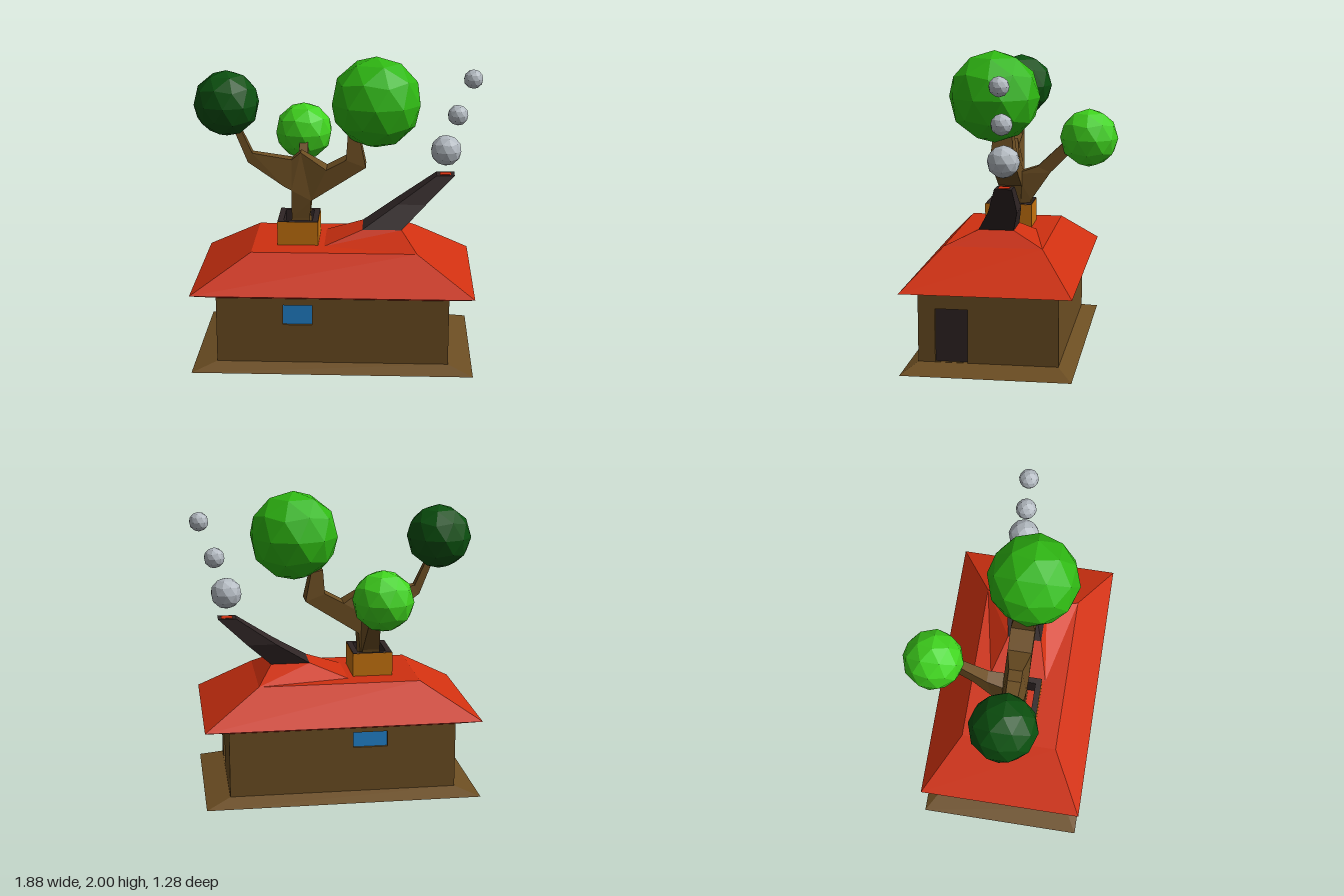
import * as THREE from 'three';

const colours = {
  wallBrown: 0x6b4d22, roofRed: 0xcf3010, charcoal: 0x2f2525, planterOrange: 0xc6730f,
  glassBlue: 0x2282cc, leafGreen: 0x2fb813, limeGreen: 0x40d41e, pineGreen: 0x0b500f, smokeGrey: 0xb4bbc2,
};

// Faceted skin through matching rings of points, capped at both ends
function loft(rings) {
  const pos = [];
  const tri = (a, b, c) => pos.push(...a, ...b, ...c);
  const n = rings[0].length;
  for (let r = 0; r < rings.length - 1; r++) {
    for (let i = 0; i < n; i++) {
      const j = (i + 1) % n, a = rings[r], b = rings[r + 1];
      tri(a[i], a[j], b[j]);
      tri(a[i], b[j], b[i]);
    }
  }
  const first = rings[0], last = rings[rings.length - 1];
  for (let i = 1; i < n - 1; i++) {
    tri(first[0], first[i + 1], first[i]);
    tri(last[0], last[i], last[i + 1]);
  }
  const g = new THREE.BufferGeometry();
  g.setAttribute('position', new THREE.Float32BufferAttribute(pos, 3));
  g.computeVertexNormals();
  return g;
}

// Level rectangle used as a loft ring
const rect = (x0, x1, z0, z1, y) => [[x0, y, z1], [x1, y, z1], [x1, y, z0], [x0, y, z0]];

// Limb in the x-y plane: sections are [leftX, leftY, rightX, rightY, leftHalfDepth, rightHalfDepth]
const limb = (sections, z = 0.095) => loft(sections.map(([lx, ly, rx, ry, a, b]) =>
  [[lx, ly, z + a], [rx, ry, z + b], [rx, ry, z - b], [lx, ly, z - a]]));

// Rectangle path, as a shape or a hole
function rectPath(Type, x0, x1, y0, y1) {
  const p = new Type();
  p.moveTo(x0, y0);
  p.lineTo(x1, y0);
  p.lineTo(x1, y1);
  p.lineTo(x0, y1);
  p.closePath();
  return p;
}

function panel(outer, hole, depth) {
  const s = rectPath(THREE.Shape, ...outer);
  s.holes.push(rectPath(THREE.Path, ...hole));
  return new THREE.ExtrudeGeometry(s, { depth, bevelEnabled: false });
}

// Faceted ball standing on a corner
function ball(r) {
  const g = new THREE.IcosahedronGeometry(r, 1);
  g.rotateX(-Math.atan((1 + Math.sqrt(5)) / 2));
  g.rotateY(Math.PI / 2);
  g.computeVertexNormals();
  return g;
}

export function createModel() {
  const model = new THREE.Group();
  const mats = {};
  for (const [name, color] of Object.entries(colours)) {
    mats[name] = new THREE.MeshStandardMaterial({ color });
    mats[name].name = name;
  }
  const add = (name, geometry, mat, x = 0, y = 0, z = 0) => {
    const m = new THREE.Mesh(geometry, mats[mat]);
    m.name = name;
    m.position.set(x, y, z);
    model.add(m);
    return m;
  };

  // House: sloped footing, inner core and outer wall panels with openings
  const X0 = -0.78, X1 = 0.73, Z0 = -0.35, Z1 = 0.55, Y0 = 0.05, Y1 = 0.49, D = 0.025;
  add('footing', loft([rect(-0.94, 0.89, -0.45, 0.64, 0), rect(X0, X1, Z0, Z1, Y0)]), 'wallBrown');
  add('wallCore', loft([rect(X0, X1 - D, Z0 + D, Z1 - D, Y0), rect(X0, X1 - D, Z0 + D, Z1 - D, Y1)]), 'wallBrown');
  add('frontWall', panel([X0, X1, Y0, Y1], [-0.345, -0.155, 0.31, 0.445], D), 'wallBrown', 0, 0, Z1 - D);
  add('backWall', panel([X0, X1, Y0, Y1], [-0.32, -0.09, 0.355, 0.46], D), 'wallBrown', 0, 0, Z0);
  const side = add('sideWall', panel([-Z1, -Z0, Y0, Y1], [-0.44, -0.23, Y0 + 0.002, 0.4], D), 'wallBrown', X1 - D);
  side.rotation.y = Math.PI / 2;
  add('frontWindow', new THREE.BoxGeometry(0.19, 0.135, 0.008), 'glassBlue', -0.25, 0.3775, Z1 - D + 0.004);
  add('backWindow', new THREE.BoxGeometry(0.23, 0.105, 0.008), 'glassBlue', -0.205, 0.4075, Z0 + D - 0.004);
  add('door', new THREE.BoxGeometry(0.008, 0.35, 0.21), 'charcoal', X1 - D + 0.004, 0.225, 0.335);

  // Hipped roof with a raised shoulder under the chimney
  add('roof', loft([
    rect(X0, X1, Z0, Z1, Y1), rect(-0.94, 0.89, -0.45, 0.64, 0.53), rect(-0.56, 0.52, -0.22, 0.42, 0.76),
  ]), 'roofRed');
  add('roofShoulder', loft([
    [[-0.09, 0.76, 0.28], [0.52, 0.76, 0.42], [0.52, 0.76, -0.22], [-0.09, 0.76, -0.1]],
    rect(0.16, 0.42, -0.02, 0.21, 0.855),
  ]), 'roofRed');

  // Leaning chimney with a glowing mouth
  add('chimney', loft([
    rect(0.16, 0.42, -0.02, 0.21, 0.855), rect(0.39, 0.58, -0.065, 0.12, 1.005), rect(0.65, 0.77, -0.06, 0.05, 1.187),
  ]), 'charcoal');
  add('chimneyMouth', new THREE.BoxGeometry(0.075, 0.004, 0.07), 'roofRed', 0.71, 1.188, -0.005);

  // Smoke puffs
  for (const [x, y, r] of [[0.71, 1.35, 0.104], [0.783, 1.59, 0.069], [0.878, 1.832, 0.064]]) {
    add('smokePuff', ball(r), 'smokeGrey', x, y, 0);
  }

  // Planter: orange shell around a dark lining, open to the roof
  const shell = add('planter', panel([-0.4, -0.13, -0.26, 0.06], [-0.39, -0.14, -0.25, 0.05], 0.157), 'planterOrange', 0, 0.76);
  const lining = add('planterLining', panel([-0.398, -0.132, -0.258, 0.058], [-0.36, -0.17, -0.22, 0.02], 0.16), 'charcoal', 0, 0.76);
  shell.rotation.x = lining.rotation.x = -Math.PI / 2;

  // Tree: trunk and side limbs
  add('trunk', limb([
    [-0.32, 0.76, -0.19, 0.76, 0.075, 0.075], [-0.31, 0.92, -0.19, 0.92, 0.075, 0.075],
    [-0.31, 1.11, -0.18, 1.04, 0.08, 0.08],
  ]), 'wallBrown');
  add('rightLimb', limb([
    [-0.18, 1.04, -0.08, 1.25, 0.08, 0.08], [-0.31, 1.11, -0.25, 1.36, 0.08, 0.045],
    [-0.36, 1.135, -0.31, 1.31, 0.075, 0.045], [-0.6, 1.29, -0.57, 1.35, 0.04, 0.035],
    [-0.7, 1.53, -0.64, 1.5, 0.025, 0.025],
  ]), 'wallBrown');
  add('leftLimb', limb([
    [-0.08, 1.25, -0.18, 1.04, 0.08, 0.08], [0.05, 1.32, 0.18, 1.27, 0.08, 0.08],
    [0.06, 1.48, 0.14, 1.46, 0.06, 0.06],
  ]), 'wallBrown');

  // Back limb: sections are [lowerZ, lowerY, upperZ, upperY, halfWidth]
  add('backLimb', loft([
    [-0.02, 0.8, 0.06, 0.9, 0.06], [-0.05, 0.94, 0.06, 1.12, 0.058],
    [-0.18, 1.13, -0.09, 1.17, 0.04], [-0.36, 1.31, -0.3, 1.37, 0.025],
  ].map(([lz, ly, uz, uy, w]) => [
    [-0.255 - w, ly, lz], [-0.255 - w, uy, uz], [-0.255 + w, uy, uz], [-0.255 + w, ly, lz],
  ])), 'wallBrown');

  // Foliage balls
  add('largeFoliage', ball(0.3), 'leafGreen', 0.245, 1.7, 0.13);
  add('darkFoliage', ball(0.218), 'pineGreen', -0.737, 1.678, 0.093);
  add('backFoliage', ball(0.2), 'limeGreen', -0.265, 1.37, -0.44);

  return model;
}
